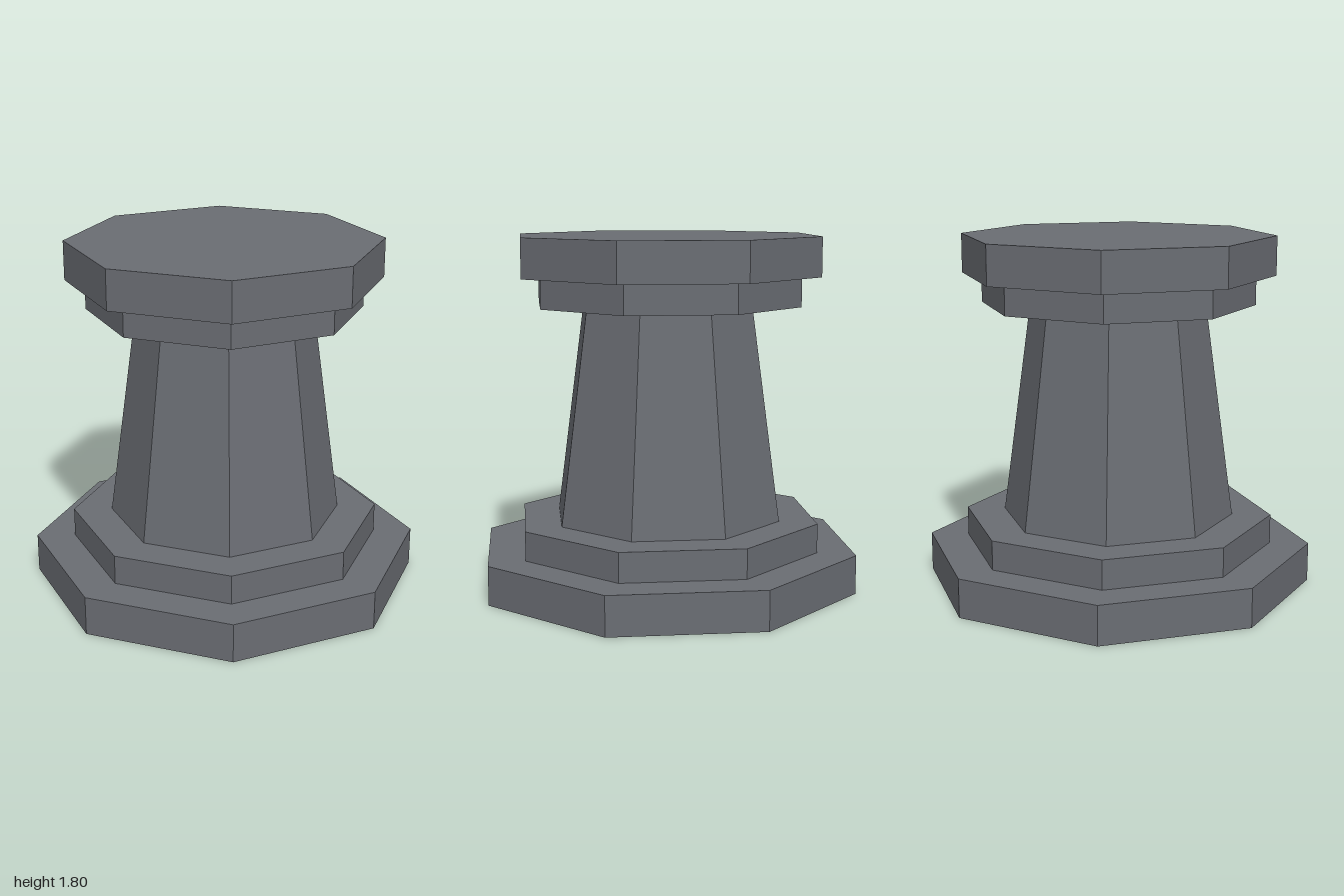
import * as THREE from 'three';

export function createModel() {
  const model = new THREE.Group();
  model.name = 'pedestal';

  const stone = new THREE.MeshStandardMaterial({ color: 0x6a6d73, flatShading: true });
  stone.name = 'slate stone';

  // Eight-sided tier between two heights, corners on the x and z axes
  function tier(name, bottomRadius, topRadius, y0, y1) {
    const geometry = new THREE.CylinderGeometry(topRadius, bottomRadius, y1 - y0, 8);
    const mesh = new THREE.Mesh(geometry, stone);
    mesh.name = name;
    mesh.position.y = (y0 + y1) / 2;
    model.add(mesh);
  }

  // Stepped foot
  tier('basePlinth', 1, 1, 0, 0.2);
  tier('baseStep', 0.8, 0.8, 0.2, 0.35);
  // Tapered shaft
  tier('shaft', 0.6, 0.45, 0.35, 1.45);
  // Stepped cap
  tier('capStep', 0.7, 0.7, 1.45, 1.6);
  tier('capSlab', 0.8, 0.8, 1.6, 1.8);

  return model;
}
